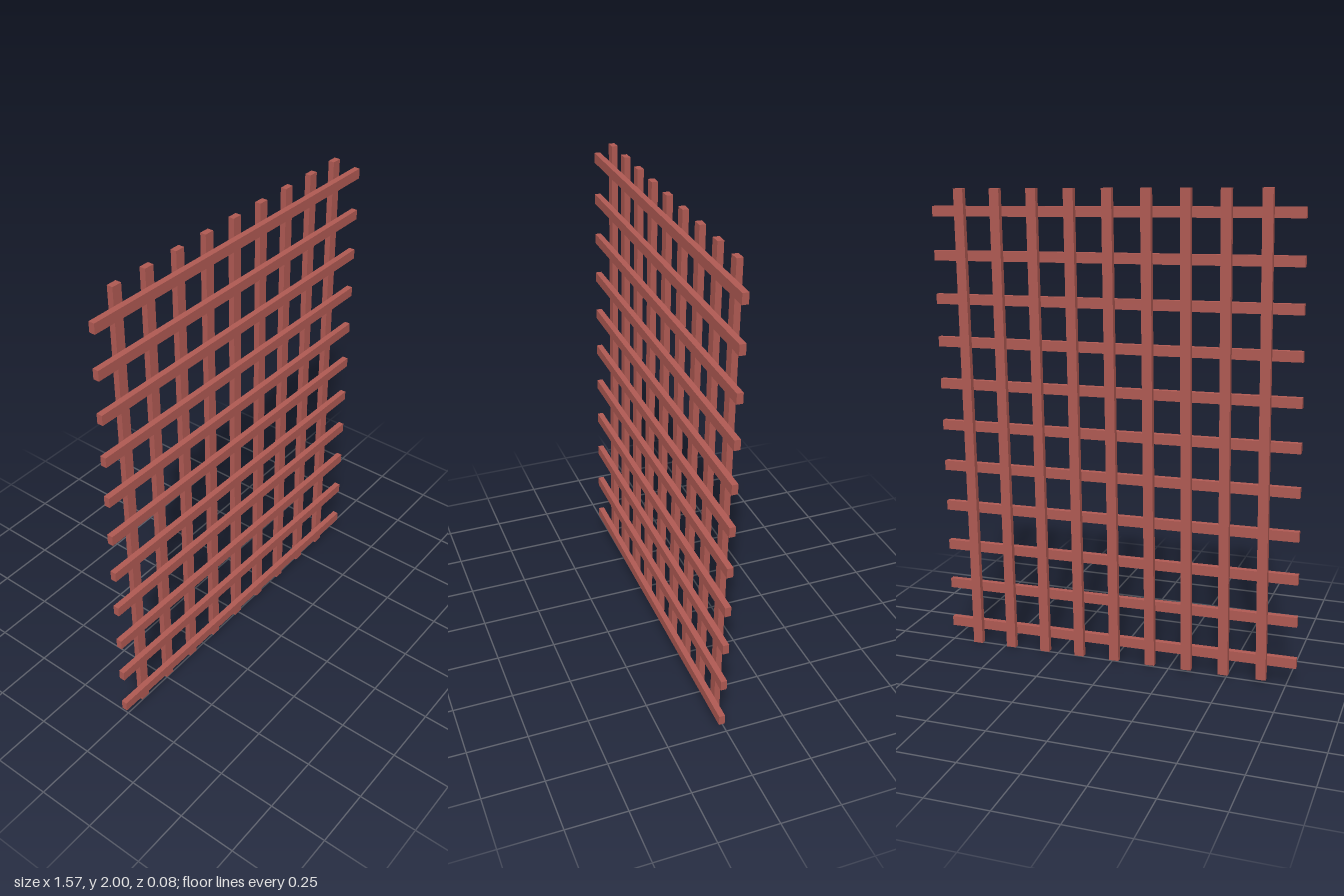
import * as THREE from 'three';

// A lattice of upright slats behind with crossing slats laid over their front.
export function createModel() {
  const model = new THREE.Group();
  model.name = 'lattice';
  const material = new THREE.MeshStandardMaterial({ color: 0xb05a53 });

  const thickness = 0.025, width = 0.042;
  const uprightGeometry = new THREE.BoxGeometry(width, 1.983, thickness);
  const crossGeometry = new THREE.BoxGeometry(1.55, width, thickness);

  // The whole panel leans slightly off square
  const panel = new THREE.Group();
  panel.name = 'panel';
  panel.position.y = 1;
  panel.rotation.set(-0.0115, -0.004, -0.0125);
  model.add(panel);

  function addSlat(name, geometry, x, y, z) {
    const slat = new THREE.Mesh(geometry, material);
    slat.name = name;
    slat.position.set(x, y, z);
    panel.add(slat);
  }

  // Nine upright slats at the back
  for (let i = 0; i < 9; i++) {
    addSlat(`uprightSlat${i + 1}`, uprightGeometry, 0.002 + (i - 4) * 0.1595, 0, -thickness / 2);
  }

  // Eleven cross slats at the front
  for (let i = 0; i < 11; i++) {
    addSlat(`crossSlat${i + 1}`, crossGeometry, -0.002, -0.007 + (i - 5) * 0.1812, thickness / 2);
  }

  return model;
}
